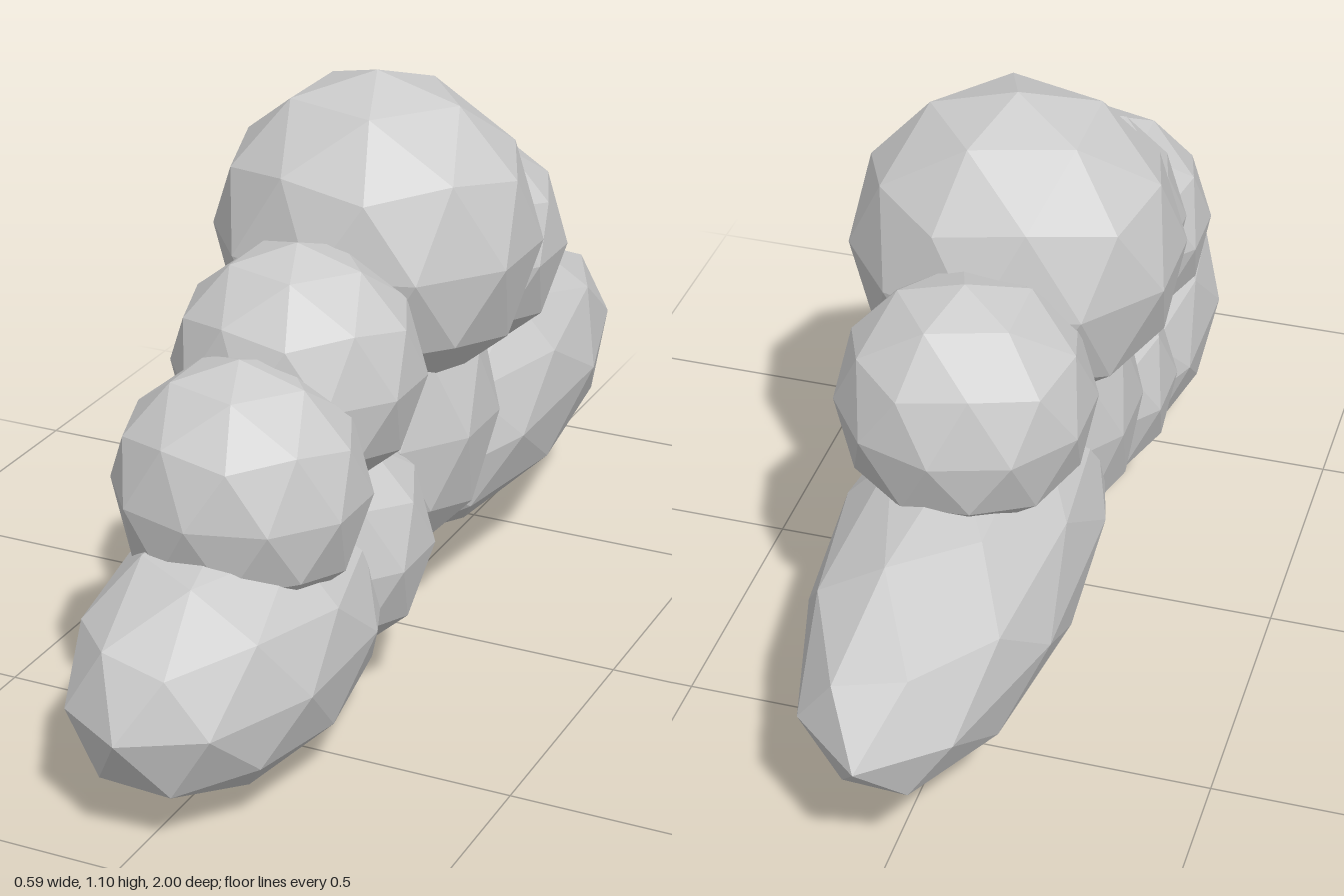
import * as THREE from 'three';

const material = new THREE.MeshStandardMaterial({ color: 0xcccccc, flatShading: true });

// Faceted ball with a vertex straight up and one upper-ring vertex towards +x
function puff(name, [y, z], [rx, ry, rz]) {
  const geometry = new THREE.IcosahedronGeometry(1, 1);
  geometry.rotateZ(-Math.atan(2 / (1 + Math.sqrt(5))));
  geometry.scale(rx, ry, rz);
  geometry.computeVertexNormals();
  const mesh = new THREE.Mesh(geometry, material);
  mesh.name = name;
  mesh.position.set(0, y, z);
  return mesh;
}

export function createModel() {
  const cloud = new THREE.Group();
  cloud.name = 'cloud';

  // name, centre [y, z], radii [x, y, z]
  const puffs = [
    // long lobes along the base
    ['frontLobe', [0.235, 0.58], [0.234, 0.235, 0.42]],
    ['backLobe', [0.34, -0.4], [0.234, 0.235, 0.6]],
    // fillers under the crown
    ['lowerFrontPuff', [0.3, 0.27], [0.234, 0.235, 0.22]],
    ['corePuff', [0.445, -0.02], [0.234, 0.31, 0.235]],
    // rounded top
    ['crownPuff', [0.79, -0.025], [0.31, 0.31, 0.285]],
    ['upperFrontPuff', [0.645, 0.305], [0.234, 0.235, 0.213]],
    ['foremostPuff', [0.51, 0.53], [0.234, 0.235, 0.213]],
    ['upperBackPuff', [0.665, -0.35], [0.234, 0.235, 0.23]],
  ];
  for (const [name, centre, radii] of puffs) cloud.add(puff(name, centre, radii));

  return cloud;
}
